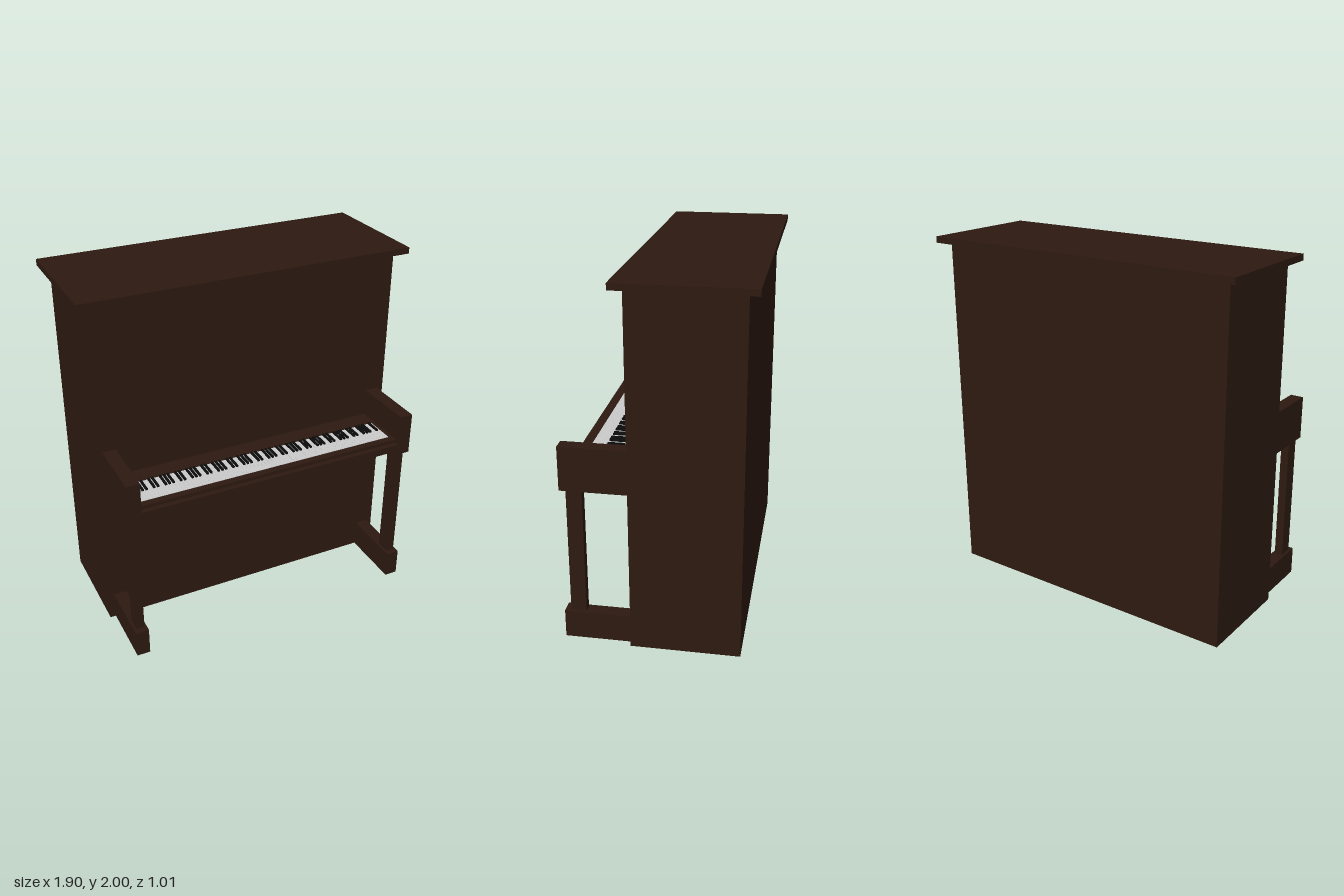
import * as THREE from 'three';

const wood = new THREE.MeshStandardMaterial({ color: 0x2d1a11 });
const ivory = new THREE.MeshStandardMaterial({ color: 0xcccccc });
const ebony = new THREE.MeshStandardMaterial({ color: 0x0c0c0c });

// Box given by its [min, max] range on each axis
function block(parent, name, [x0, x1], [y0, y1], [z0, z1], material = wood) {
  const mesh = new THREE.Mesh(new THREE.BoxGeometry(x1 - x0, y1 - y0, z1 - z0), material);
  mesh.name = name;
  mesh.position.set((x0 + x1) / 2, (y0 + y1) / 2, (z0 + z1) / 2);
  parent.add(mesh);
  return mesh;
}

export function createModel() {
  const piano = new THREE.Group();
  piano.name = 'uprightPiano';

  // Cabinet and overhanging lid
  block(piano, 'cabinet', [-0.895, 0.89], [0, 1.965], [-0.45, 0.14]);
  block(piano, 'lid', [-0.95, 0.95], [1.965, 2], [-0.507, 0.2]);

  // Front assembly sits slightly off the centre line
  const front = new THREE.Group();
  front.name = 'keyboardAssembly';
  front.position.x = -0.005;
  piano.add(front);

  // Cheek, leg and foot on each side
  for (const [label, side] of [['left', 1], ['right', -1]]) {
    const span = (halfWidth) => [side * 0.82 - halfWidth, side * 0.82 + halfWidth];
    block(front, label + 'Cheek', span(0.0375), [0.88, 1.125], [0.14, 0.507]);
    block(front, label + 'Leg', span(0.0235), [0.16, 0.88], [0.39, 0.475]);
    block(front, label + 'Foot', span(0.0375), [0, 0.16], [0.14, 0.507]);
  }

  // Key bed in three stepped layers
  const bed = [-0.7825, 0.7825];
  block(front, 'keyBedBase', bed, [0.88, 0.906], [0.14, 0.475]);
  block(front, 'keyBedRail', bed, [0.906, 0.943], [0.14, 0.503]);
  block(front, 'keyFrame', bed, [0.943, 0.964], [0.14, 0.475]);

  // White keys, with black keys in alternating groups of three and two
  const count = 69, pitch = 1.52 / count, start = -0.76;
  const hasBlack = [true, true, true, false, true, true, false];
  const keys = new THREE.Group();
  keys.name = 'keys';
  front.add(keys);
  for (let i = 0; i < count; i++) {
    const x = start + i * pitch;
    block(keys, 'whiteKey', [x + 0.0003, x + pitch - 0.0003], [0.95, 0.966], [0.255, 0.435], ivory);
    if (hasBlack[i % 7] && i < count - 1) {
      const edge = x + pitch;
      block(keys, 'blackKey', [edge - 0.006, edge + 0.006], [0.955, 0.976], [0.255, 0.35], ebony);
    }
  }

  return piano;
}
